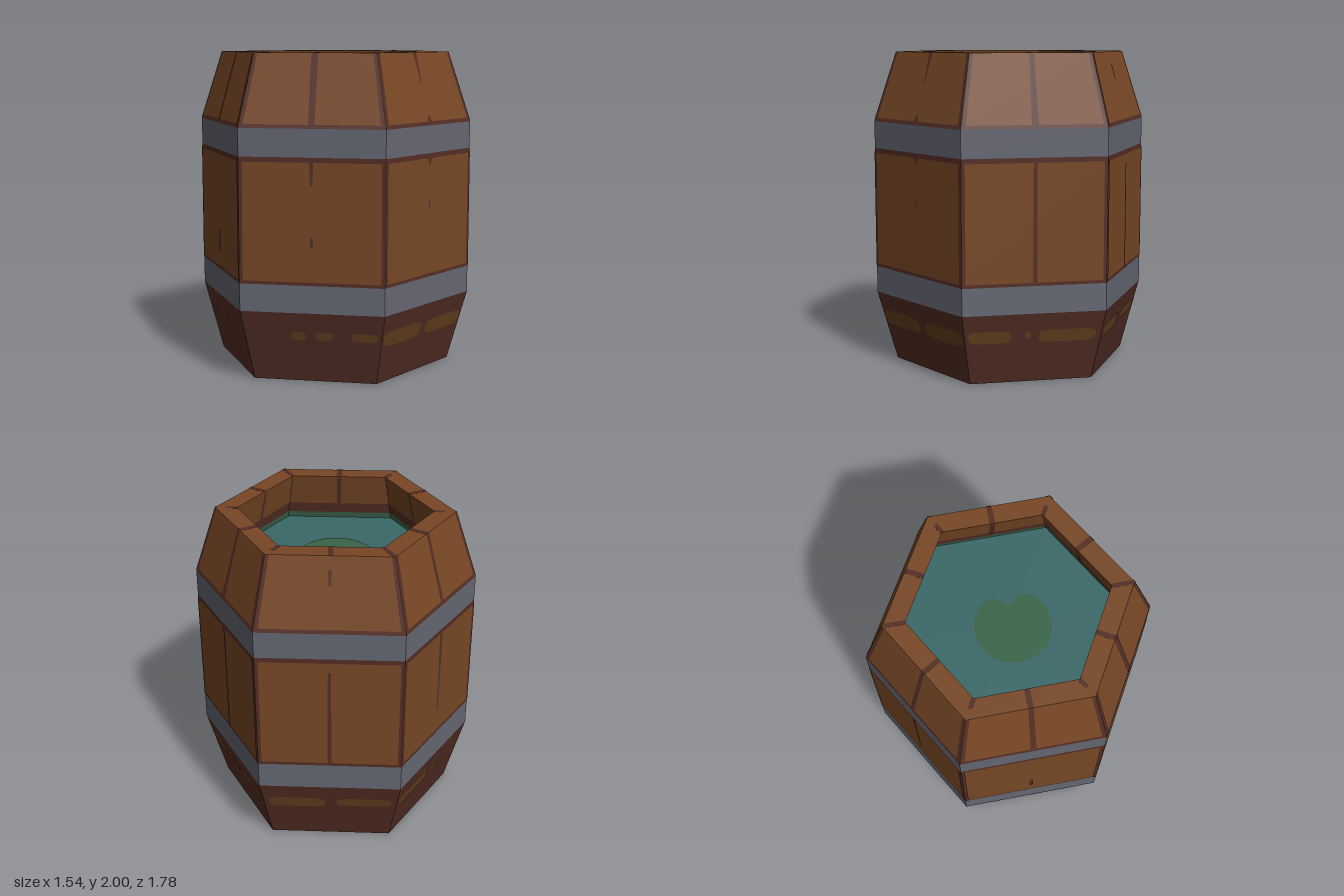
import * as THREE from 'three';

const mat = (name, color) => new THREE.MeshStandardMaterial({
  name, color, flatShading: true, side: THREE.DoubleSide });

export function createModel() {
  const barrel = new THREE.Group();
  barrel.name = 'barrel';
  const wood = mat('wood', 0x784725);
  const dark = mat('dark wood', 0x542e25);
  const worn = mat('worn wood', 0x66421f);
  const metal = mat('iron', 0x656773);
  const water = mat('water', 0x3a6868);
  const green = mat('algae green', 0x3a6449);

  const add = (name, geometry, material) => {
    const mesh = new THREE.Mesh(geometry, material);
    mesh.name = name;
    barrel.add(mesh);
    return mesh;
  };

  // Outer radius (to the corners) at a height
  const { lerp } = THREE.MathUtils;
  const outerR = y => y < 0.45 ? lerp(0.76, 0.886, y / 0.45)
    : y < 1.56 ? 0.886 : lerp(0.886, 0.74, (y - 1.56) / 0.44);
  const innerR = y => lerp(0.605, 0.69, (2 - y) / 0.32);

  // Six-sided open ring between two heights
  const ring = (name, y0, y1, material, radius = outerR) => {
    const g = new THREE.CylinderGeometry(radius(y1), radius(y0), y1 - y0, 6, 1, true);
    g.translate(0, (y0 + y1) / 2, 0);
    add(name, g, material);
  };

  // Outer shell, open at the bottom
  ring('base', 0, 0.45, dark);
  ring('lowerBand', 0.45, 0.62, metal);
  ring('middleLowerEdge', 0.62, 0.64, dark);
  ring('middleStaves', 0.64, 1.36, wood);
  ring('middleUpperEdge', 1.36, 1.39, dark);
  ring('upperBand', 1.39, 1.56, metal);
  ring('topLowerEdge', 1.56, 1.583, dark);
  ring('topStaves', 1.583, 2, wood);

  // Inner wall, flaring down to the water
  ring('innerWall', 1.79, 2, wood, innerR);
  ring('innerWallStain', 1.72, 1.79, dark, innerR);
  ring('algaeLine', 1.68, 1.72, green, innerR);

  // Rim and water surface
  const rim = new THREE.RingGeometry(0.605, 0.74, 6, 1, Math.PI / 2);
  add('rim', rim.rotateX(-Math.PI / 2), wood).position.y = 2;
  const pool = new THREE.CircleGeometry(0.69, 6, Math.PI / 2);
  add('water', pool.rotateX(-Math.PI / 2), water).position.y = 1.68;

  // Lily pad with a notch towards +x
  const padPoints = [];
  for (let i = 0; i < 48; i++) {
    const a = -Math.PI + i * Math.PI / 24;
    const r = 0.235 * (1 - 0.42 * Math.exp(-((a / 0.3) ** 2)));
    padPoints.push(new THREE.Vector2(r * Math.cos(a), r * Math.sin(a)));
  }
  const pad = new THREE.ShapeGeometry(new THREE.Shape(padPoints));
  add('lilyPad', pad.rotateX(-Math.PI / 2), green).position.set(-0.015, 1.685, 0.02);

  // Thin painted plate on side k; u runs -1 to 1 across it, seen on both faces of the shell
  const plate = (name, k, points, material, radius = outerR) => {
    const a = Math.PI / 6 + k * Math.PI / 3;
    const pos = [], index = [], n = points.length;
    for (const offset of [0.003, -0.003]) {
      const start = pos.length / 3;
      for (const [u, y] of points) {
        const r = radius(y), d = r * Math.cos(Math.PI / 6) + offset, t = u * r / 2;
        pos.push(Math.sin(a) * d + Math.cos(a) * t, y, Math.cos(a) * d - Math.sin(a) * t);
      }
      for (let i = 1; i < n - 1; i++) index.push(start, start + i, start + i + 1);
    }
    const g = new THREE.BufferGeometry();
    g.setAttribute('position', new THREE.Float32BufferAttribute(pos, 3));
    g.setIndex(index);
    g.computeVertexNormals();
    add(name, g, material);
  };

  // Vertical strip with its own width at each end
  const strip = (name, k, u, y0, y1, w0, w1 = w0, radius = outerR) => plate(name, k,
    [[u - w0, y0], [u + w0, y0], [u + w1, y1], [u - w1, y1]], dark, radius);

  // Rounded worn patch
  const patch = (k, u0, u1, y0, y1) => {
    const points = [];
    const soft = v => Math.sign(v) * Math.abs(v) ** 0.5;
    for (let i = 0; i < 20; i++) {
      const a = i * Math.PI / 10;
      points.push([(u0 + u1) / 2 + soft(Math.cos(a)) * (u1 - u0) / 2,
        (y0 + y1) / 2 + soft(Math.sin(a)) * (y1 - y0) / 2]);
    }
    plate('wornPatch', k, points, worn);
  };

  // Stave seams per side, as [y0, y1, half width at y0, half width at y1]
  const seams = [
    [[1.82, 2, 0.015, 0.04], [1.58, 1.62, 0.06, 0.015], [1.32, 1.37, 0.01, 0.06], [1.04, 1.1, 0.015, 0.015]],
    [[1.58, 2, 0.05, 0.035], [0.63, 1.37, 0.03, 0.025]],
    [[1.83, 1.92, 0.015, 0.03], [0.63, 1.3, 0.03, 0.02]],
    [[1.58, 2, 0.035, 0.04], [0.8, 1.37, 0.015, 0.035]],
    [[1.58, 2, 0.04, 0.04], [0.74, 0.88, 0.03, 0.015]],
    [[1.58, 2, 0.045, 0.055], [1.22, 1.37, 0.015, 0.03], [0.85, 0.91, 0.025, 0.015]],
  ];
  // Worn patches on the base per side, as [u0, u1, y0, y1]
  const patches = [
    [[-0.97, -0.06, 0.24, 0.34], [0.06, 0.95, 0.24, 0.335]],
    [[-0.95, -0.33, 0.265, 0.345], [-0.13, -0.05, 0.29, 0.33], [0.07, 0.92, 0.26, 0.34]],
    [[-0.92, -0.07, 0.26, 0.345], [0.1, 0.92, 0.275, 0.345]],
    [[-0.95, -0.03, 0.255, 0.34], [0.08, 0.24, 0.27, 0.33]],
    [[-0.6, -0.5, 0.28, 0.32], [0.05, 0.2, 0.28, 0.32]],
    [[-0.31, -0.1, 0.275, 0.325], [0.05, 0.29, 0.275, 0.33], [0.56, 0.95, 0.275, 0.33]],
  ];

  for (let k = 0; k < 6; k++) {
    // Dark edges along the corners
    for (const s of [-1, 1]) {
      strip('middleCorner', k, s * 0.975, 0.63, 1.37, 0.025);
      strip('topCorner', k, s * 0.97, 1.57, 2, 0.03);
    }
    for (const [y0, y1, w0, w1] of seams[k]) strip('staveSeam', k, 0, y0, y1, w0, w1);
    for (const p of patches[k]) patch(k, ...p);
    strip('innerSeam', k, 0, 1.78, 1.99, 0.04, 0.04, innerR);

    // Seams across the rim, at the middle of each side and at the corners
    const rimSeam = (angle, r0, r1, width) => {
      const g = new THREE.BoxGeometry(width, 0.004, r1 - r0);
      g.translate(0, 1.999, (r0 + r1) / 2).rotateY(angle);
      add('rimSeam', g, dark);
    };
    rimSeam(Math.PI / 6 + k * Math.PI / 3, 0.525, 0.64, 0.032);
    rimSeam(k * Math.PI / 3, 0.605, k % 3 ? 0.67 : 0.73, 0.026);
  }
  return barrel;
}
